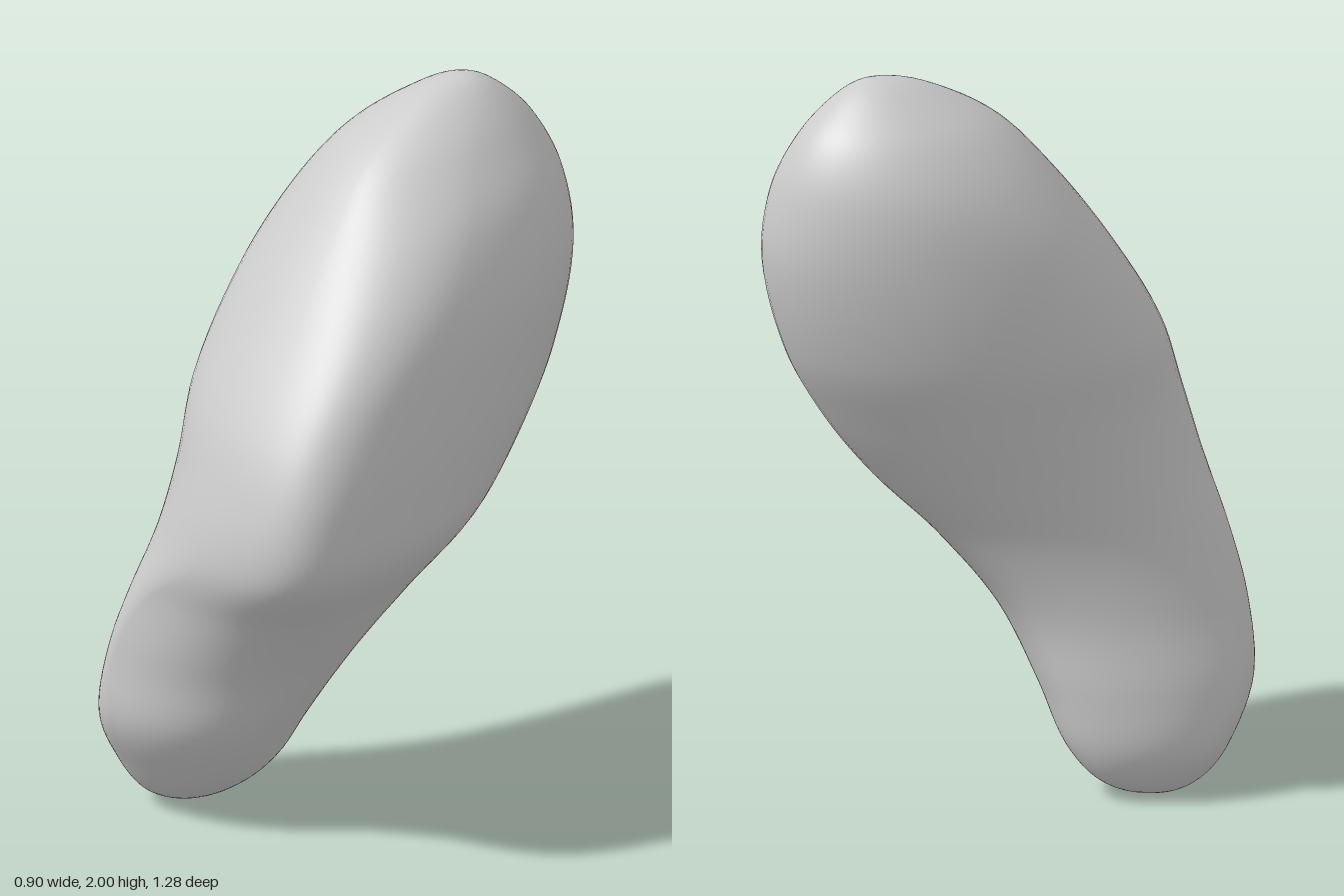
import * as THREE from 'three';
import { mergeVertices } from 'three/addons/utils/BufferGeometryUtils.js';

const { clamp, smoothstep } = THREE.MathUtils;

// Horizontal slices: y, then the x, z of the outermost point at -x, +z, +x and -z
const SLICES = [
  [0.00, -0.31, 0.35, -0.31, 0.35, -0.31, 0.35, -0.31, 0.35],
  [0.04, -0.39, 0.36, -0.31, 0.47, -0.18, 0.33, -0.29, 0.19],
  [0.14, -0.448, 0.38, -0.30, 0.55, -0.065, 0.34, -0.26, 0.11],
  [0.30, -0.44, 0.40, -0.29, 0.632, 0.05, 0.36, -0.22, 0.065],
  [0.50, -0.387, 0.37, -0.27, 0.634, 0.175, 0.32, -0.14, 0.00],
  [0.70, -0.35, 0.30, -0.15, 0.628, 0.31, 0.33, -0.05, -0.14],
  [0.88, -0.343, 0.20, 0.10, 0.645, 0.432, 0.37, 0.02, -0.31],
  [1.05, -0.355, 0.10, 0.19, 0.618, 0.452, 0.36, 0.05, -0.445],
  [1.25, -0.383, 0.03, 0.19, 0.54, 0.445, 0.25, 0.05, -0.565],
  [1.50, -0.367, -0.08, 0.15, 0.365, 0.412, 0.05, 0.05, -0.635],
  [1.70, -0.313, -0.20, 0.10, 0.195, 0.335, -0.10, 0.04, -0.622],
  [1.85, -0.22, -0.27, 0.06, 0.04, 0.225, -0.22, 0.02, -0.56],
  [1.95, -0.10, -0.32, 0.03, -0.14, 0.13, -0.31, 0.02, -0.46],
  [2.00, 0.03, -0.34, 0.03, -0.34, 0.03, -0.34, 0.03, -0.34],
];
const LAST = SLICES.length - 1;

// Height measured as an angle, so that both tips come out round
const heightAngle = (k) => Math.acos(1 - SLICES[k][0]);

// Rate of change of column c at slice k
function slope(k, c) {
  const a = clamp(k - 1, 0, LAST), b = clamp(k + 1, 0, LAST);
  return (SLICES[b][c] - SLICES[a][c]) / (heightAngle(b) - heightAngle(a));
}

// Smooth blend between slices k and k + 1
function sliceAt(k, f) {
  const start = heightAngle(k), span = heightAngle(k + 1) - start;
  const values = SLICES[k].map((p, c) => {
    const q = SLICES[k + 1][c], g = 1 - f;
    return p * g * g * (1 + 2 * f) + q * f * f * (3 - 2 * f)
      + span * f * g * (slope(k, c) * g - slope(k + 1, c) * f);
  });
  values[0] = 1 - Math.cos(start + f * span);
  return values;
}

// One closed outline: four curved quarters joining the outermost points
function outline([y, ...p], perQuarter) {
  const ridge = smoothstep(y, 0.4, 0.9) * (1 - smoothstep(y, 1.3, 1.9));
  const fullness = [0.58, 0.52 + 0.23 * ridge, 0.6, 0.5];
  const points = [];
  fullness.forEach((full, q) => {
    const from = new THREE.Vector2(p[2 * q], p[2 * q + 1]);
    const to = new THREE.Vector2(p[(2 * q + 2) % 8], p[(2 * q + 3) % 8]);
    const corner = q % 2 ? new THREE.Vector2(to.x, from.y) : new THREE.Vector2(from.x, to.y);
    const curve = new THREE.CubicBezierCurve(
      from, from.clone().lerp(corner, full), to.clone().lerp(corner, full), to);
    for (let s = 0; s < perQuarter; s++) {
      const { x, y: z } = curve.getPoint(s / perQuarter);
      points.push(x, y, z);
    }
  });
  return points;
}

function bodyGeometry(perQuarter = 18, steps = 6) {
  const sides = perQuarter * 4, rings = LAST * steps;
  const positions = [], index = [];
  for (let r = 0; r <= rings; r++) {
    const k = Math.min(Math.floor(r / steps), LAST - 1);
    positions.push(...outline(sliceAt(k, r / steps - k), perQuarter));
  }
  for (let r = 0; r < rings; r++) {
    for (let s = 0; s < sides; s++) {
      const a = r * sides + s, b = r * sides + (s + 1) % sides;
      if (r > 0) index.push(a, b, a + sides);
      if (r < rings - 1) index.push(b, b + sides, a + sides);
    }
  }
  const geometry = new THREE.BufferGeometry();
  geometry.setAttribute('position', new THREE.Float32BufferAttribute(positions, 3));
  geometry.setIndex(index);
  // Weld each tip to a single point for smooth shading
  const welded = mergeVertices(geometry, 1e-5);
  welded.computeVertexNormals();
  return welded;
}

export function createModel() {
  const group = new THREE.Group();
  group.name = 'pebble';
  const body = new THREE.Mesh(
    bodyGeometry(),
    new THREE.MeshStandardMaterial({ color: 0xcccccc }));
  body.name = 'body';
  group.add(body);
  return group;
}
